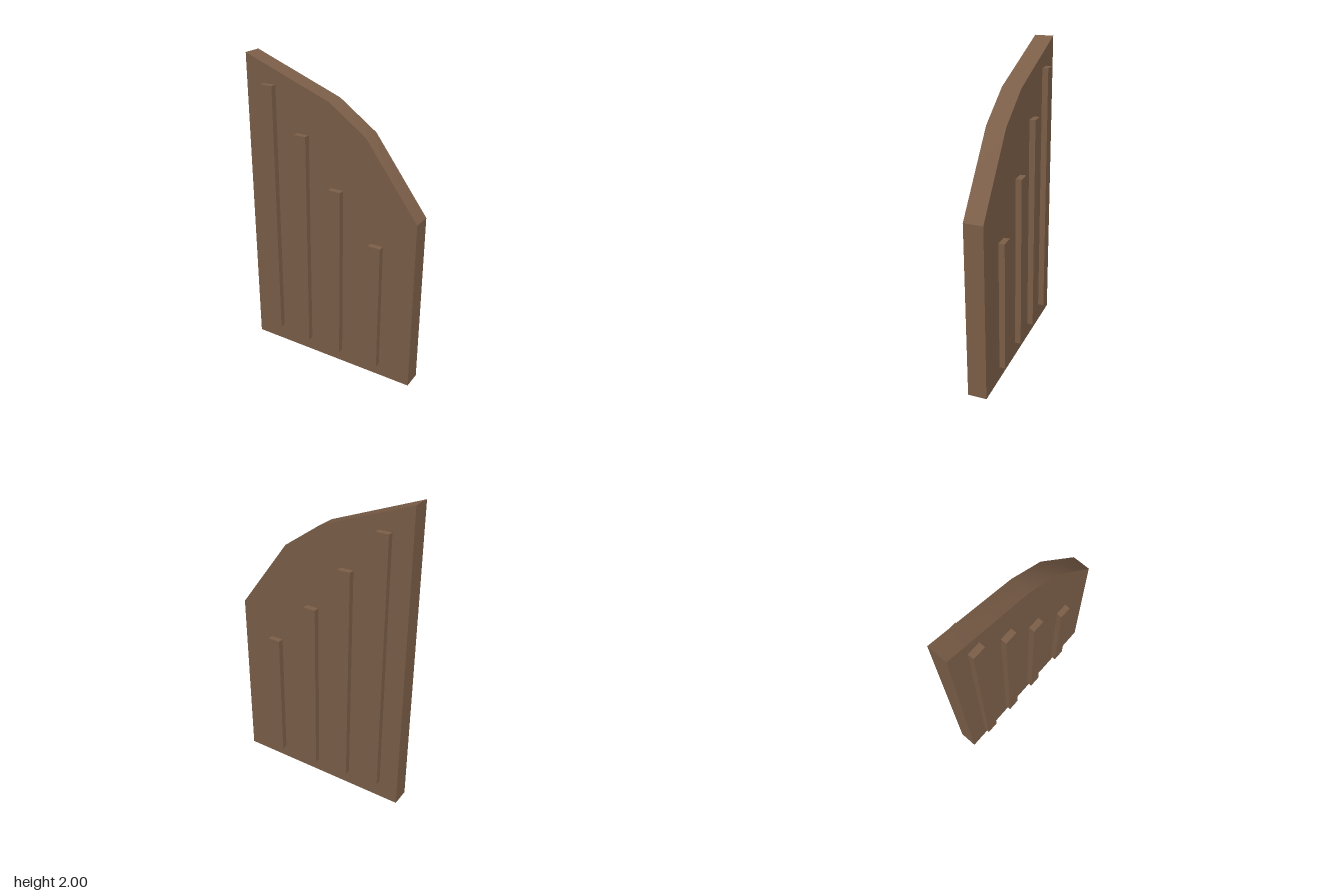
import * as THREE from 'three';
import { toCreasedNormals } from 'three/addons/utils/BufferGeometryUtils.js';

export function createModel() {
  const group = new THREE.Group();
  group.name = 'slattedPanel';
  const wood = new THREE.MeshStandardMaterial({ color: 0x7b5e48 });

  // Solid panel with a sloping, bowed top edge
  const outline = [[-0.59, 0], [0.59, 0], [0.59, 1.15], [0.245, 1.61], [0, 1.78], [-0.59, 2]];
  const shape = new THREE.Shape(outline.map(([x, y]) => new THREE.Vector2(x, y)));
  const depth = 0.122;
  const slab = new THREE.ExtrudeGeometry(shape, { depth, bevelEnabled: false });
  slab.translate(0, 0, -depth / 2);
  const panel = new THREE.Mesh(toCreasedNormals(slab, 0.5), wood);
  panel.name = 'panel';
  group.add(panel);

  // Upright battens on both faces: centre x, bottom, top
  const battens = [
    [-0.421, 0.125, 1.83],
    [-0.187, 0.1, 1.557],
    [0.054, 0.095, 1.253],
    [0.334, 0.088, 0.952],
  ];
  const reach = 0.1, sunk = 0.05;
  for (const [side, label] of [[1, 'front'], [-1, 'back']]) {
    battens.forEach(([x, bottom, top], i) => {
      const geometry = new THREE.BoxGeometry(0.084, top - bottom, reach - sunk);
      const batten = new THREE.Mesh(geometry, wood);
      batten.position.set(x, (bottom + top) / 2, side * (reach + sunk) / 2);
      batten.name = `${label}Batten${i + 1}`;
      group.add(batten);
    });
  }
  return group;
}
